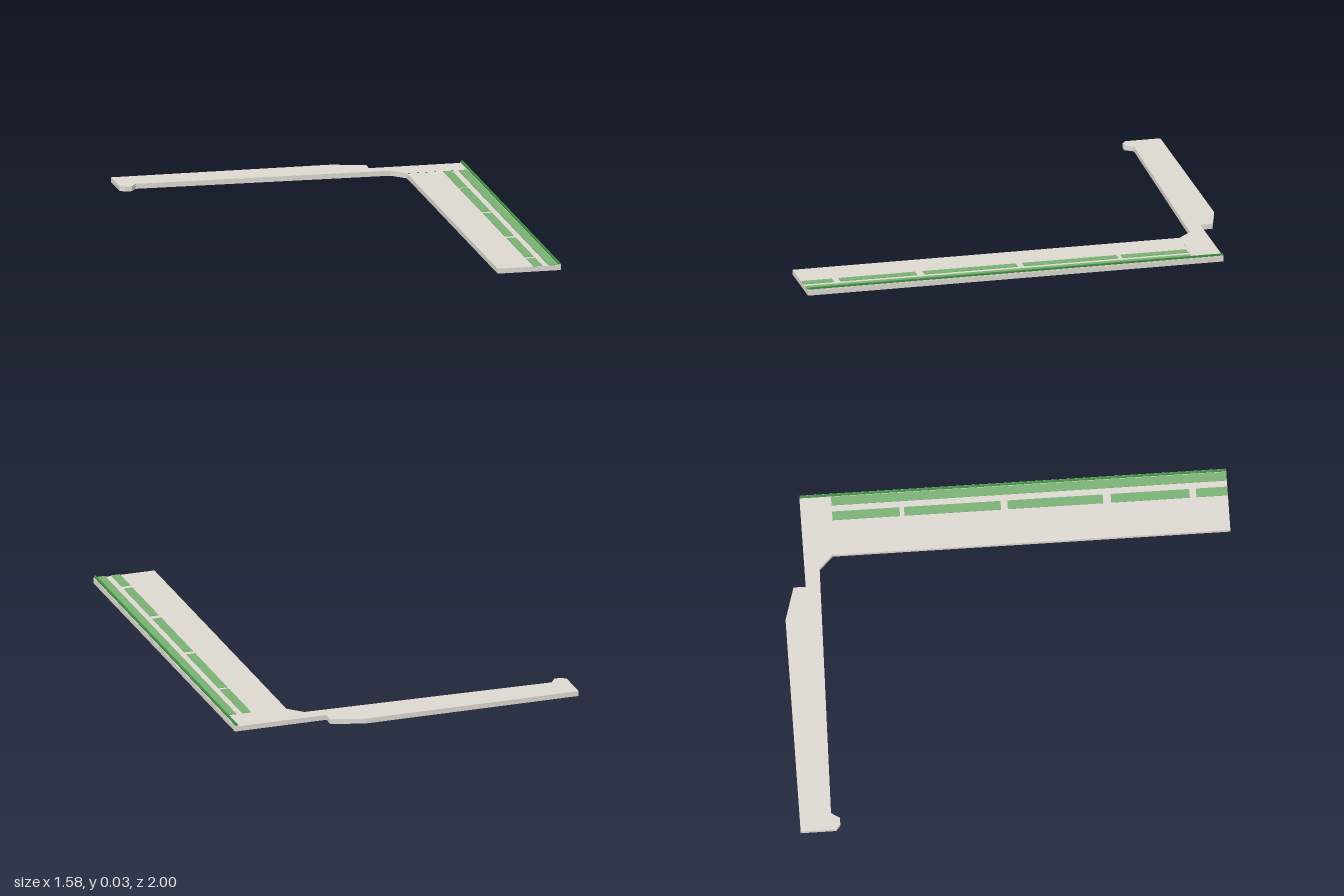
import * as THREE from 'three';

const stone = new THREE.MeshStandardMaterial({ color: 0xddd9d1, side: THREE.DoubleSide });
stone.name = 'pale grey';
const green = new THREE.MeshStandardMaterial({ color: 0x79b174 });
green.name = 'leaf green';
const darkGreen = new THREE.MeshStandardMaterial({ color: 0x3f8f41 });
darkGreen.name = 'hedge green';

// Roof sheet with side walls, open underneath; outline points are [x, z]
function addShell(group, name, outline, height, openEdges = []) {
  const shell = new THREE.Group();
  shell.name = name;
  const shape = new THREE.Shape(outline.map(([x, z]) => new THREE.Vector2(x, -z)));
  const top = new THREE.Mesh(new THREE.ShapeGeometry(shape).rotateX(-Math.PI / 2).translate(0, height, 0), stone);
  top.name = name + 'Top';
  shell.add(top);

  const pos = [];
  outline.forEach(([x0, z0], i) => {
    if (openEdges.includes(i)) return;
    const [x1, z1] = outline[(i + 1) % outline.length];
    pos.push(x0, 0, z0, x1, 0, z1, x1, height, z1, x0, 0, z0, x1, height, z1, x0, height, z0);
  });
  const geo = new THREE.BufferGeometry();
  geo.setAttribute('position', new THREE.Float32BufferAttribute(pos, 3));
  geo.computeVertexNormals();
  const walls = new THREE.Mesh(geo, stone);
  walls.name = name + 'Walls';
  shell.add(walls);
  group.add(shell);
}

// Box given by its limits on each axis
function addBox(group, name, material, [x0, x1], [y0, y1], [z0, z1]) {
  const mesh = new THREE.Mesh(new THREE.BoxGeometry(x1 - x0, y1 - y0, z1 - z0), material);
  mesh.position.set((x0 + x1) / 2, (y0 + y1) / 2, (z0 + z1) / 2);
  mesh.name = name;
  group.add(mesh);
}

export function createModel() {
  const model = new THREE.Group();
  model.name = 'cornerPlatform';

  // Rear arm with hooked end, chamfered shoulder and corner; counter-clockwise from above
  addShell(model, 'rearArm', [
    [0.502, -0.77], [0.79, -0.77], [0.79, -0.9], [0.36, -0.9], [0.36, -0.955], [0.21, -1],
    [-0.793, -1], [-0.793, -0.84], [-0.77, -0.822], [-0.74, -0.822], [-0.715, -0.86], [0.44, -0.833],
  ], 0.023, [0]);

  // Long deck running forward
  addShell(model, 'longDeck', [[0.502, 1], [0.79, 1], [0.79, -0.77], [0.502, -0.77]], 0.0225, [2]);

  // Raised curb with a narrow green hedge along the outer edge
  addBox(model, 'curb', stone, [0.775, 0.79], [0.0235, 0.027], [-0.9, 1]);
  addBox(model, 'hedge', darkGreen, [0.777, 0.787], [0.027, 0.034], [-0.9, 1]);

  // Planted strips, resting on the deck
  addBox(model, 'wideStrip', green, [0.735, 0.775], [0.0235, 0.027], [-0.76, 1]);
  [[-0.76, -0.46], [-0.44, -0.01], [0.02, 0.445], [0.48, 0.83], [0.86, 1]].forEach((z, i) =>
    addBox(model, 'strip' + (i + 1), green, [0.665, 0.706], [0.0235, 0.026], z));

  return model;
}
